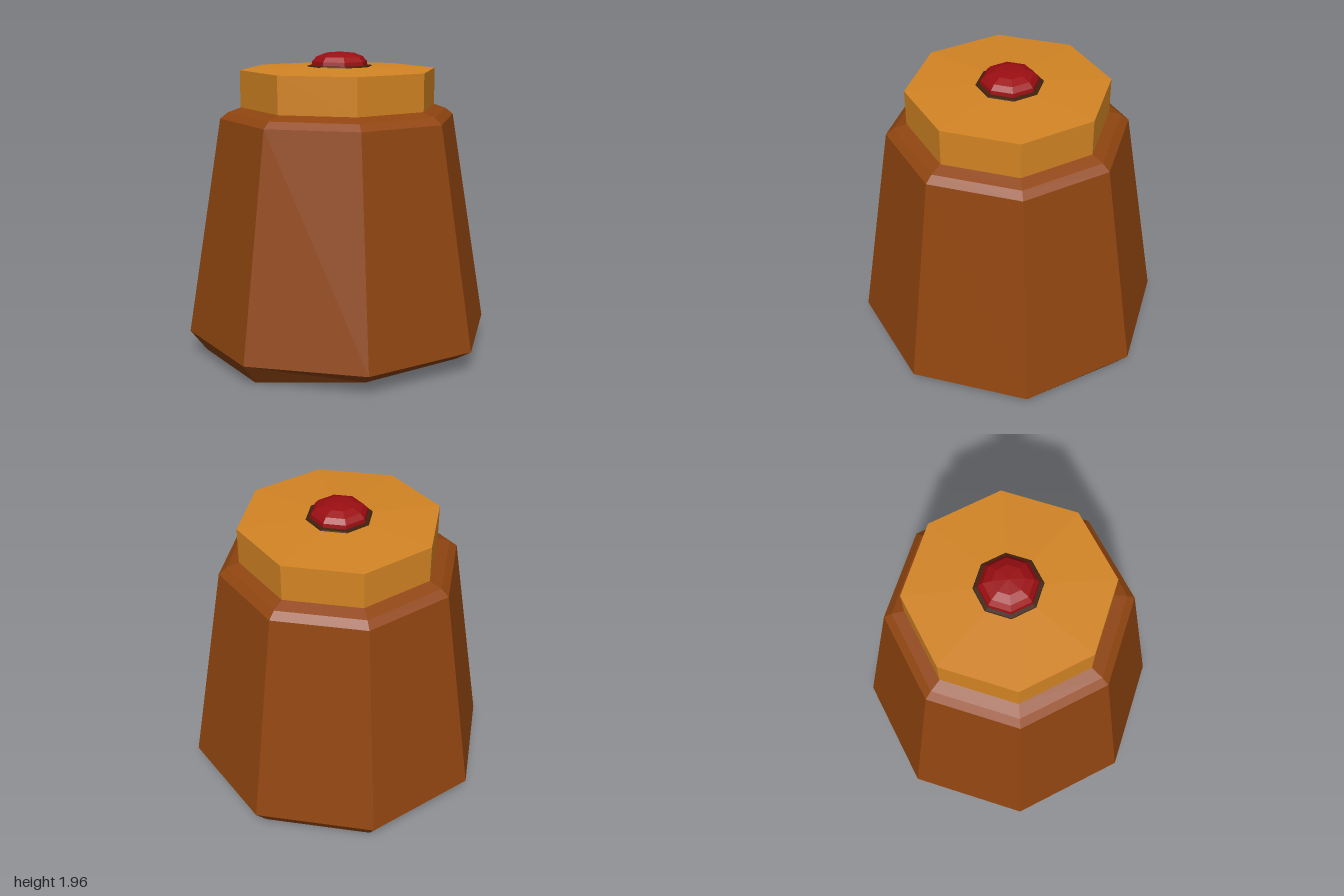
import * as THREE from 'three';

const paint = (name, color) => {
  const m = new THREE.MeshStandardMaterial({ color, flatShading: true });
  m.name = name;
  return m;
};

// Eight-sided turned part; profile runs from bottom to top as [radius, y]
function turned(name, profile, material, z = 0) {
  const points = profile.map(([r, y]) => new THREE.Vector2(r, y));
  const mesh = new THREE.Mesh(new THREE.LatheGeometry(points, 8), material);
  mesh.name = name;
  mesh.position.z = z;
  return mesh;
}

export function createModel() {
  const wood = paint('brown', 0x904510);
  const gold = paint('amber', 0xd48524);
  const red = paint('red', 0x9c0e12);
  const dark = paint('dark brown', 0x40200c);

  const group = new THREE.Group();
  group.name = 'jar';

  // Tapered body with bevelled foot and rounded shoulder
  const body = turned('body', [
    [0, 0], [0.895, 0], [1, 0.135], [0.765, 1.54], [0.715, 1.58], [0.63, 1.61], [0, 1.61],
  ], wood);
  const p = body.geometry.attributes.position;
  for (let i = 0; i < p.count; i++) {
    const x = p.getX(i), y = p.getY(i);
    // foot is lifted on one side
    if (y < 0.01 && x > 0.1) p.setY(i, x > 0.8 ? 0.07 : 0.06);
    // upper rings sit slightly forward
    if (y > 1) p.setZ(i, p.getZ(i) + 0.01);
  }
  group.add(body);

  // Lid with a shallow pitched top
  group.add(turned('lid', [[0, 1.61], [0.635, 1.61], [0.635, 1.845], [0, 1.87]], gold, 0.008));

  // Collar and domed knob
  group.add(turned('knobCollar', [[0.212, 1.855], [0.207, 1.868], [0.17, 1.872]], dark));
  group.add(turned('knob', [
    [0.183, 1.865], [0.178, 1.895], [0.15, 1.925], [0.095, 1.946], [0, 1.955],
  ], red));

  return group;
}
